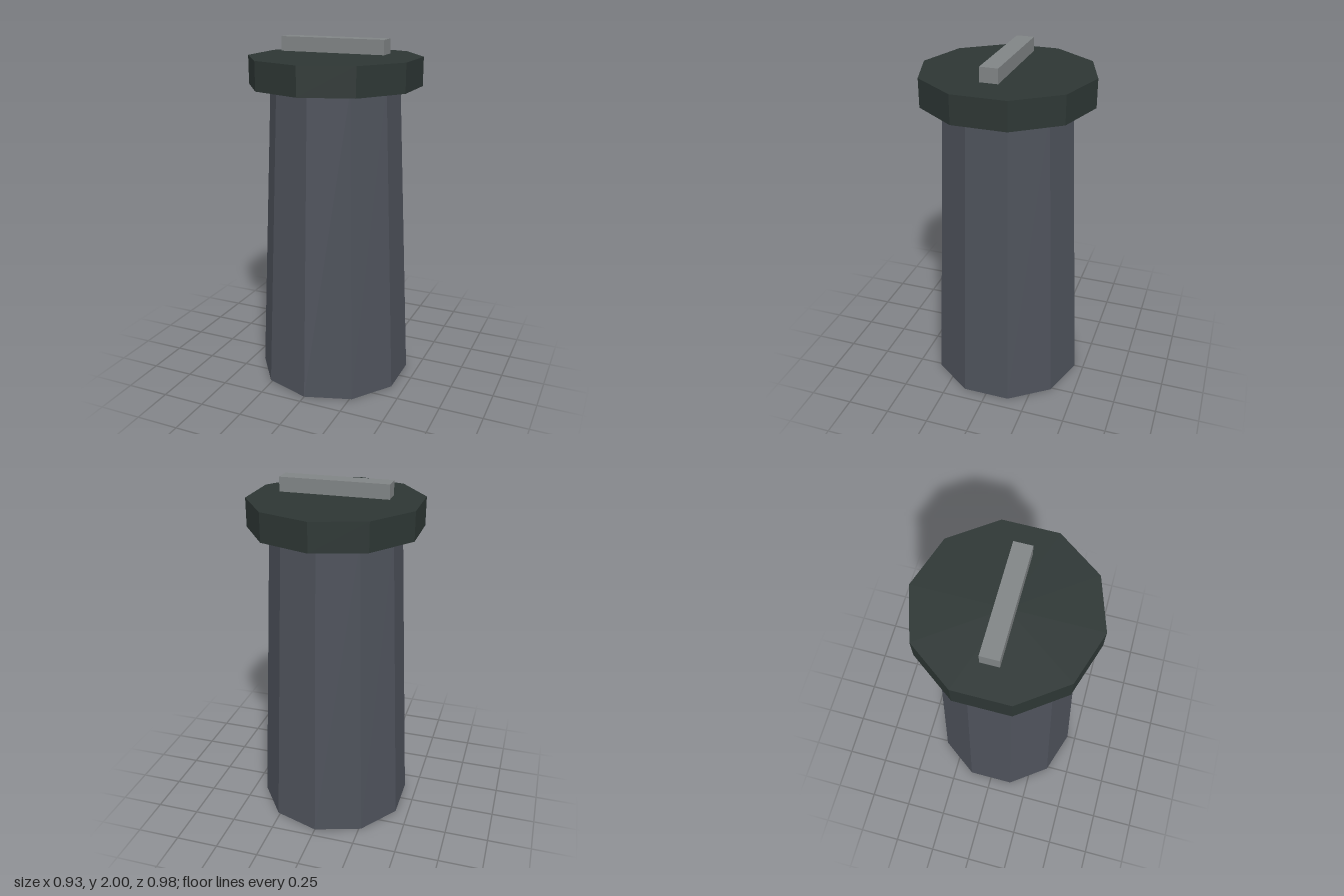
import * as THREE from 'three';

const SIDES = 10;

export function createModel() {
  const model = new THREE.Group();
  model.name = 'taperedPost';

  const material = (name, color) => {
    const m = new THREE.MeshStandardMaterial({ color, flatShading: true });
    m.name = name;
    return m;
  };
  const slate = material('slateGrey', 0x4d515a);
  const darkGreen = material('darkGreenGrey', 0x2d3634);
  const grey = material('lightGrey', 0x808485);

  const add = (name, geometry, mat, y) => {
    const mesh = new THREE.Mesh(geometry, mat);
    mesh.name = name;
    mesh.position.y = y;
    model.add(mesh);
  };

  // Ten-sided body, narrowing upwards into the cap
  add('body', new THREE.CylinderGeometry(0.365, 0.447, 1.76, SIDES), slate, 0.88);

  // Overhanging cap
  add('cap', new THREE.CylinderGeometry(0.488, 0.488, 0.16, SIDES), darkGreen, 1.82);

  // Bar hovering just above the cap
  add('topBar', new THREE.BoxGeometry(0.61, 0.08, 0.1), grey, 1.96);

  return model;
}
